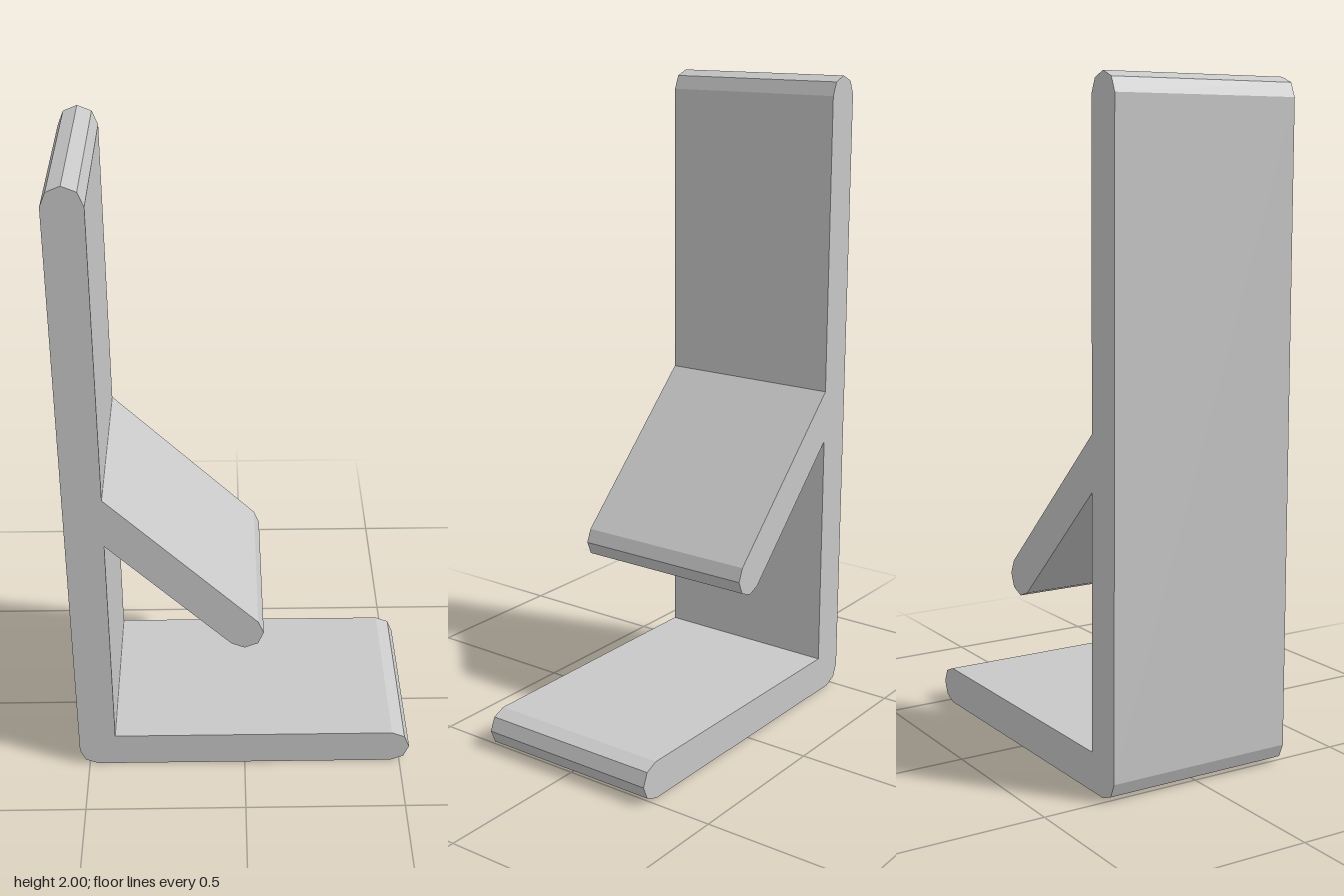
import * as THREE from 'three';

const R = 0.058; // half thickness of every panel
const DEPTH = 0.59;

// Faceted arc in 45 degree steps, running clockwise from one angle to another
function arc(cx, cy, fromDeg, toDeg) {
  const points = [];
  for (let a = fromDeg; a >= toDeg; a -= 45) {
    const t = THREE.MathUtils.degToRad(a);
    points.push(new THREE.Vector2(cx + R * Math.cos(t), cy + R * Math.sin(t)));
  }
  return points;
}

export function createModel() {
  const group = new THREE.Group();
  group.name = 'bracketStand';

  const grey = new THREE.MeshStandardMaterial({ color: 0xc8c8c8 });
  grey.name = 'light grey';

  const spineX = -0.472;
  const innerX = spineX + R;
  const footY = 0.06;

  // Side profile, clockwise: upright, sloping arm, foot
  const outline = [
    ...arc(spineX, 2 - R, 180, 0), // rounded top of the upright
    new THREE.Vector2(innerX, 1.028), // arm root, upper
    ...arc(0, 0.535, 45, -135), // rounded arm tip
    new THREE.Vector2(innerX, 0.865), // arm root, lower
    new THREE.Vector2(innerX, footY + R), // inside corner
    ...arc(0.472, footY, 90, -90), // rounded toe of the foot
    ...arc(spineX, footY, 270, 180), // rounded heel
  ];

  const geometry = new THREE.ExtrudeGeometry(new THREE.Shape(outline), {
    depth: DEPTH,
    bevelEnabled: false,
  });
  geometry.translate(0, 0, -DEPTH / 2);

  const body = new THREE.Mesh(geometry, grey);
  body.name = 'uprightArmAndFoot';
  group.add(body);
  return group;
}
